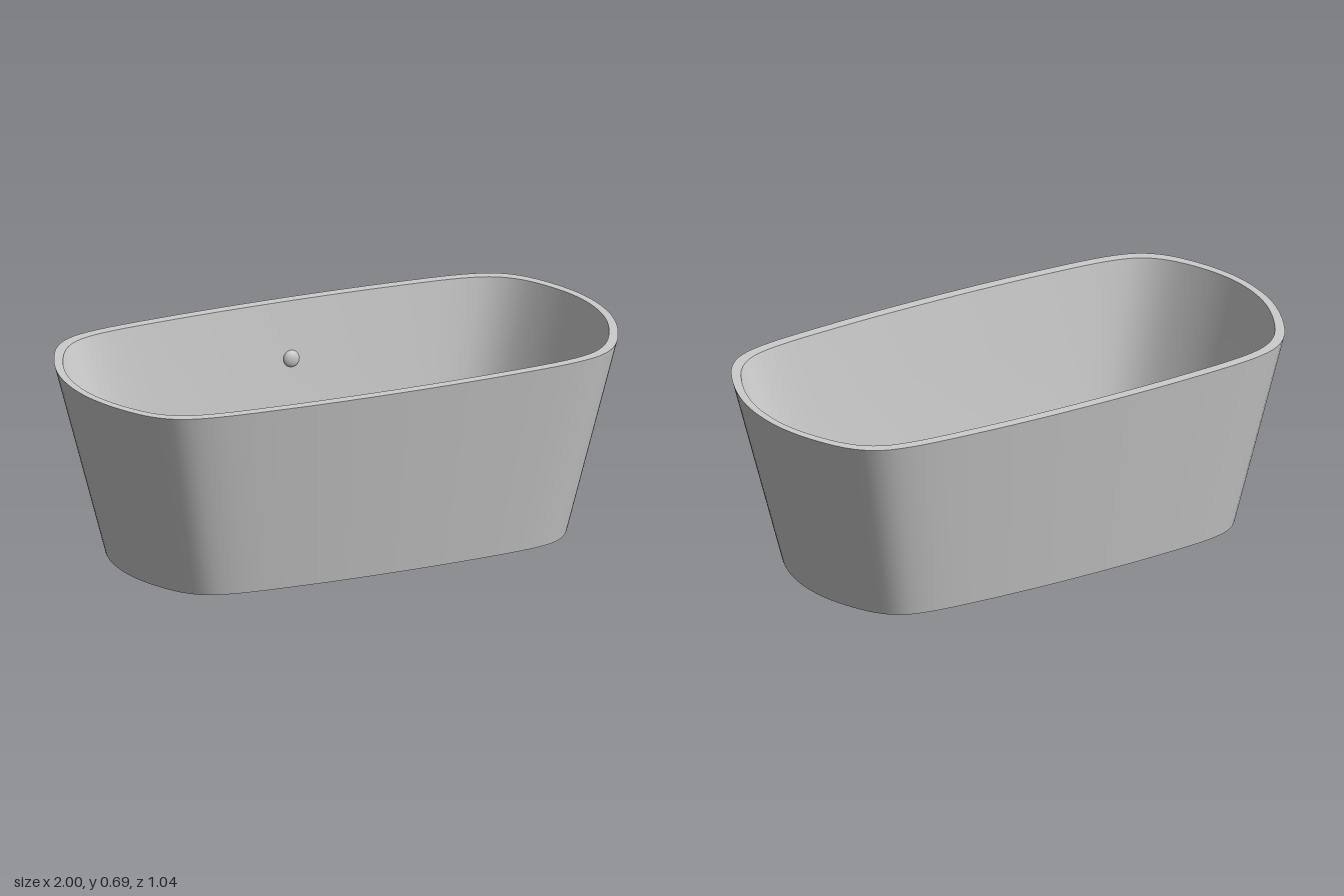
import * as THREE from 'three';

// Plan outline: one quadrant, mirrored into a closed smooth curve
const quadrant = [[1, 0], [0.985, 0.14], [0.935, 0.285], [0.87, 0.395], [0.8, 0.453], [0.7, 0.485], [0.4, 0.512], [0, 0.522]];
const SIDES = 160;

function outline() {
  const half = [...quadrant, ...quadrant.slice(0, -1).reverse().map(([x, z]) => [-x, z])];
  const loop = [...half, ...half.slice(1, -1).reverse().map(([x, z]) => [x, -z])];
  const curve = new THREE.CatmullRomCurve3(loop.map(([x, z]) => new THREE.Vector3(x, 0, z)), true);
  return curve.getSpacedPoints(SIDES).slice(0, SIDES);
}

// Skin through scaled copies of the outline; each ring is [scaleX, scaleZ, y]
function loft(plan, rings) {
  const pos = [], index = [];
  rings.forEach(([sx, sz, y], r) => plan.forEach((p, i) => {
    pos.push(p.x * sx, y, p.z * sz);
    if (r === rings.length - 1) return;
    const a = r * SIDES + i, c = r * SIDES + (i + 1) % SIDES;
    index.push(a, a + SIDES, c, a + SIDES, c + SIDES, c);
  }));
  const geo = new THREE.BufferGeometry();
  geo.setAttribute('position', new THREE.Float32BufferAttribute(pos, 3));
  geo.setIndex(index);
  geo.computeVertexNormals();
  return geo;
}

export function createModel() {
  const group = new THREE.Group();
  const enamel = new THREE.MeshStandardMaterial({ color: 0xcccccc, side: THREE.DoubleSide });
  enamel.name = 'enamel';
  const metal = new THREE.MeshStandardMaterial({ color: 0xc4c4c4 });
  metal.name = 'metal';
  const add = (name, geo, mat) => {
    const mesh = new THREE.Mesh(geo, mat);
    mesh.name = name;
    group.add(mesh);
    return mesh;
  };
  const plan = outline();
  const H = 0.69, FLOOR = 0.18;

  // Tapered outer skirt, open underneath
  add('outerShell', loft(plan, [[0.82, 0.82, 0], [1, 1, H]]), enamel);

  // Flat rim
  add('rim', loft(plan, [[1, 1, H], [0.973, 0.927, H]]), enamel);

  // Basin: sloping wall, small fillet, flat floor
  add('basin', loft(plan, [
    [0.973, 0.927, H], [0.9, 0.855, 0.44], [0.825, 0.785, 0.215],
    [0.812, 0.774, 0.192], [0.795, 0.758, 0.182], [0.775, 0.74, FLOOR],
    [0.4, 0.4, FLOOR], [0, 0, FLOOR],
  ]), enamel);

  // Domed drain plug
  const dome = new THREE.SphereGeometry(0.022, 24, 8, 0, Math.PI * 2, 0, Math.PI / 2);
  const drain = add('drain', dome, metal);
  drain.scale.y = 0.4;
  drain.position.set(0, FLOOR, 0);

  // Overflow button on the back wall
  const button = new THREE.SphereGeometry(0.03, 24, 8, 0, Math.PI * 2, 0, Math.PI / 2);
  const overflow = add('overflow', button, metal);
  overflow.scale.y = 0.5;
  overflow.rotation.x = 1.4;
  overflow.position.set(0.035, 0.49, -0.455);

  return group;
}
